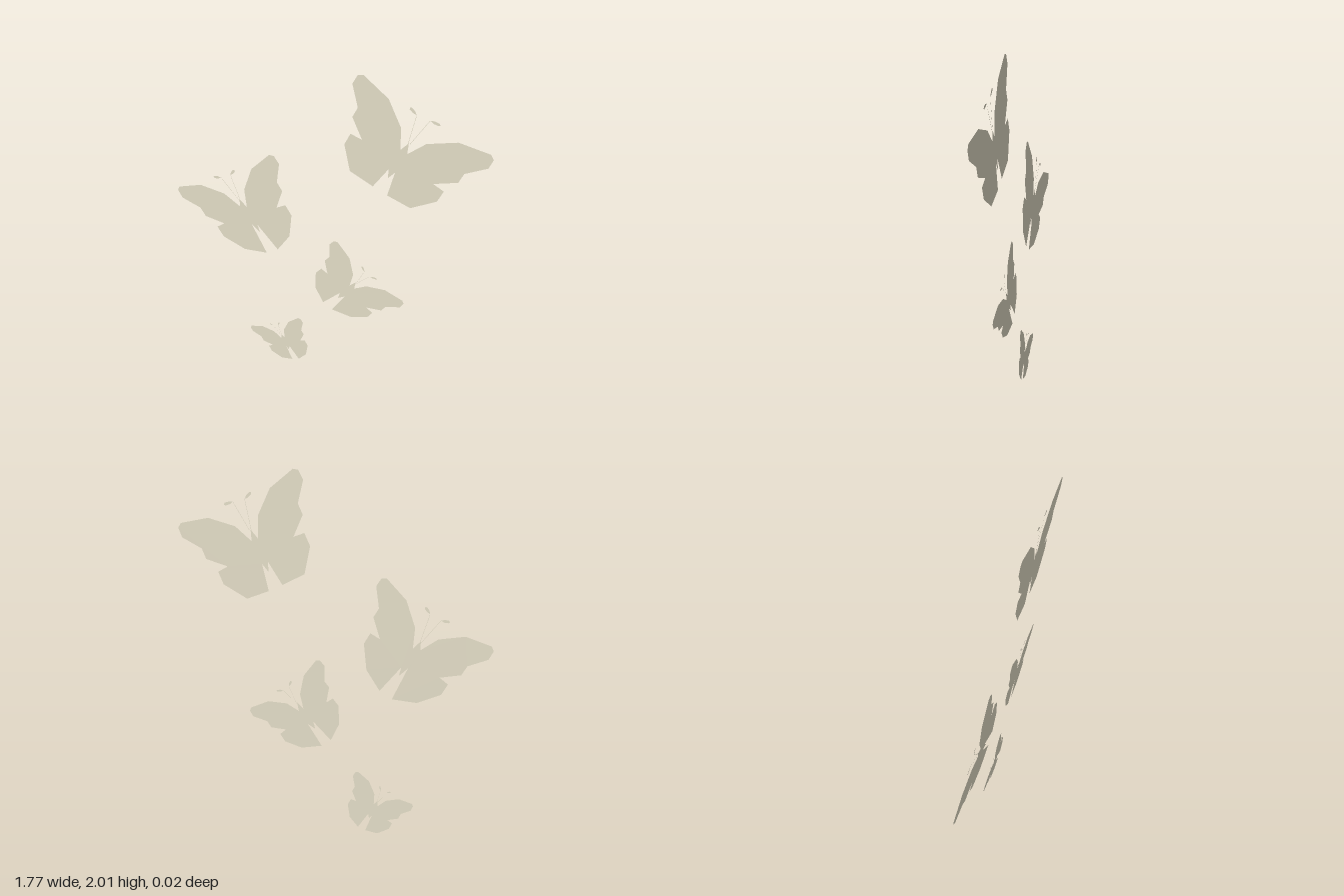
import * as THREE from 'three';

// Flat butterflies laid out on a plan of 377 units (2 model units) high, y down.
const UNIT = 2 / 377;
const at = ([x, y]) => new THREE.Vector2((x - 238.2) * UNIT, (413 - y) * UNIT);

// Wing outline in a skewed frame: root = (0,0), tip = (1,0), hind corner = (0,1).
const WING = [
  [0, 0], [0.234, -0.203], [0.605, -0.262], [0.97, -0.089], [1, 0], [0.94, 0.155],
  [0.662, 0.283], [0.59, 0.451], [0.293, 0.508], [0.417, 0.633], [0.33, 0.832], [0, 1],
];
const WAIST = [-0.16, 0.351];

// wings: [root, tip, hind corner, tail point]; antennae: [base, bend, club end]
const BUTTERFLIES = [
  {
    name: 'topButterfly', head: [324, 97], tail: [305, 140],
    left: [[323, 109], [405, 97], [329, 169], [305, 160]],
    right: [[316, 106], [272, 36], [266, 141], [290, 153]],
    antennae: [[[323, 99], [330, 66], [323, 59]], [[325, 98], [343, 69], [353, 72]]],
  },
  {
    name: 'upperButterfly', head: [144, 204], tail: [166, 241],
    left: [[152, 212], [185, 142], [200, 237], [186, 258]],
    right: [[144, 213], [71, 210], [147, 268], [173, 266]],
    antennae: [[[145, 206], [135, 176], [140, 169]], [[144, 206], [124, 182], [115, 183]]],
  },
  {
    name: 'lowerButterfly', head: [275, 277], tail: [255, 304],
    left: [[273, 286], [328, 290], [270, 326], [248, 322]],
    right: [[268, 283], [250, 230], [229, 297], [238, 315]],
    antennae: [[[275, 279], [284, 260], [281, 254]], [[276, 278], [290, 265], [298, 266]]],
  },
  {
    name: 'bottomButterfly', head: [187, 377], tail: [196, 397],
    left: [[191, 381], [211, 347.5], [217, 398], [208, 408]],
    right: [[187, 383], [149, 379], [187, 413], [200, 411]],
    antennae: [[[188, 379], [183.5, 365], [185, 360.5]], [[187, 379], [177, 367], [173, 366]]],
  },
];

export function createModel() {
  const cream = new THREE.MeshStandardMaterial({ color: 0xe3ddc7, side: THREE.DoubleSide });
  cream.name = 'cream';

  const plate = (name, points) => {
    const mesh = new THREE.Mesh(new THREE.ShapeGeometry(new THREE.Shape(points)), cream);
    mesh.name = name;
    return mesh;
  };

  // Maps a point of the wing frame onto the plan
  const place = ([root, tip, hind], [u, v]) =>
    [0, 1].map((i) => root[i] + u * (tip[i] - root[i]) + v * (hind[i] - root[i]));

  const wing = (name, marks) => plate(name, [
    ...WING.map((p) => at(place(marks, p))), at(marks[3]), at(place(marks, WAIST)),
  ]);

  // Hair-thin stem ending in a leaf-shaped club
  const antenna = ([base, bend, end], size) => {
    const group = new THREE.Group();
    group.name = 'antenna';
    const [a, b, c] = [base, bend, end].map(at);
    const side = (p, q, w) => {
      const d = q.clone().sub(p).normalize();
      return new THREE.Vector2(-d.y, d.x).multiplyScalar(w);
    };
    const s = side(a, b, 0.001 * size);
    group.add(plate('stem', [a.clone().add(s), b.clone().add(s), b.clone().sub(s), a.clone().sub(s)]));
    const w = side(b, c, 0.008 * size);
    const near = b.clone().lerp(c, 0.4);
    const far = b.clone().lerp(c, 0.85);
    group.add(plate('club', [
      b, near.clone().add(w), far.clone().add(w), c, far.clone().sub(w), near.clone().sub(w),
    ]));
    return group;
  };

  const model = new THREE.Group();
  model.name = 'butterflies';
  for (const { name, head, tail, left, right, antennae } of BUTTERFLIES) {
    const butterfly = new THREE.Group();
    butterfly.name = name;
    const size = at(left[0]).distanceTo(at(left[1])) / 0.44;
    butterfly.add(wing('leftWing', left), wing('rightWing', right));
    // Body strip joining the wings, pointed at the head and tail
    butterfly.add(plate('body', [
      at(head), at(left[0]), at(place(left, WAIST)), at(tail), at(place(right, WAIST)), at(right[0]),
    ]));
    butterfly.add(...antennae.map((marks) => antenna(marks, size)));
    model.add(butterfly);
  }
  model.rotation.y = 0.012;
  return model;
}
